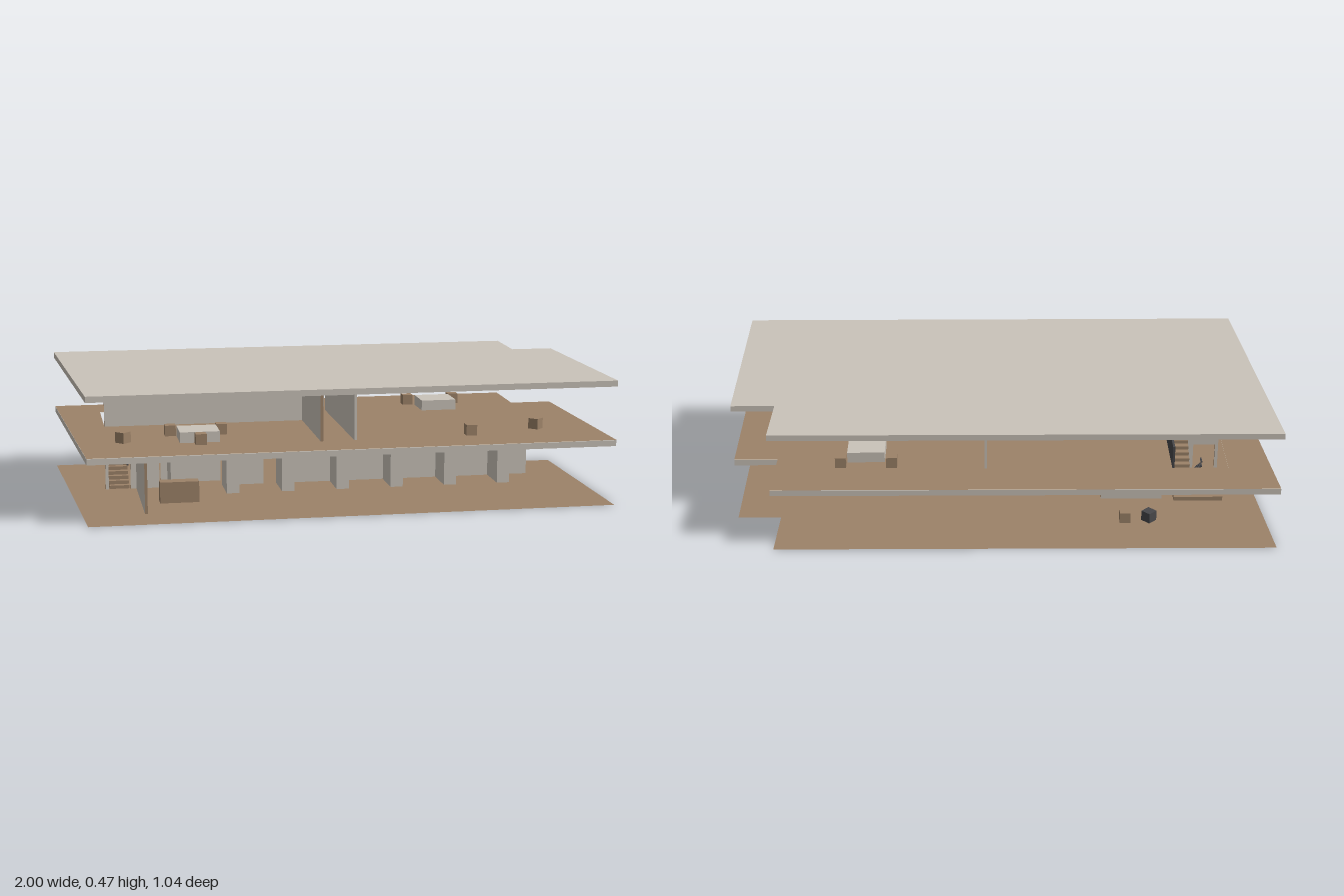
import * as THREE from 'three';

export function createModel() {
  const model = new THREE.Group();
  model.name = 'building';
  const mat = (name, color, side = THREE.FrontSide) => {
    const m = new THREE.MeshStandardMaterial({ color, side });
    m.name = name;
    return m;
  };
  const concrete = mat('concrete', 0xcac3b9);
  const wood = mat('wood', 0x9c8268, THREE.DoubleSide);
  const dark = mat('charcoal', 0x47474a);

  const add = (name, geometry, material) => {
    const mesh = new THREE.Mesh(geometry, material);
    mesh.name = name;
    model.add(mesh);
    return mesh;
  };
  // Box given by its lower and upper limits on each axis
  const box = (name, material, x0, x1, y0, y1, z0, z1) => {
    const m = add(name, new THREE.BoxGeometry(x1 - x0, y1 - y0, z1 - z0), material);
    m.position.set((x0 + x1) / 2, (y0 + y1) / 2, (z0 + z1) / 2);
    return m;
  };

  // Floor outline, optionally with the stairwell cut out
  const outline = (stairwell) => {
    const pts = [[-1, -0.525], [0.835, -0.52], [0.83, -0.28], [0.99, -0.28], [1, 0.52], [-0.925, 0.52]];
    const shape = new THREE.Shape(pts.map(([x, z]) => new THREE.Vector2(x, -z)));
    if (stairwell) {
      const hole = [[-0.83, -0.36], [-0.63, -0.36], [-0.63, -0.065], [-0.83, -0.065]];
      shape.holes.push(new THREE.Path(hole.map(([x, z]) => new THREE.Vector2(x, -z))));
    }
    return shape;
  };
  const slab = (name, y, h, stairwell) => {
    const g = new THREE.ExtrudeGeometry(outline(stairwell), { depth: h, bevelEnabled: false });
    add(name, g.rotateX(-Math.PI / 2).translate(0, y, 0), concrete);
  };
  const floor = (name, y, stairwell) => {
    const g = new THREE.ShapeGeometry(outline(stairwell));
    add(name, g.rotateX(-Math.PI / 2).translate(0, y, 0), wood);
  };

  // Slabs and timber floors
  floor('groundFloor', 0.001, false);
  slab('middleSlab', 0.222, 0.022, true);
  floor('upperFloor', 0.2455, true);
  slab('roofSlab', 0.443, 0.022, false);

  // Walls with timber end faces
  const T = 0.005;
  const endsX = [wood, wood, concrete, concrete, concrete, concrete];
  const endsZ = [concrete, concrete, concrete, concrete, wood, wood];
  const wallX = (name, x0, x1, z, y0, y1) => box(name, endsX, x0, x1, y0, y1, z - T, z + T);
  const wallZ = (name, x, z0, z1, y0, y1, m = endsZ) => box(name, m, x - T, x + T, y0, y1, z0, z1);

  // Ground storey: long wall with two doorways, recessed wall, side wall
  const H = 0.222, door = 0.19;
  wallX('longWall', -0.145, 0.83, -0.06, 0, H);
  wallX('longWall', -0.38, -0.222, -0.06, 0, H);
  wallX('doorLintel', -0.222, -0.145, -0.06, door, H);
  wallX('longWall', -0.735, -0.625, -0.06, 0, H);
  wallX('doorLintel', -0.818, -0.735, -0.06, door, H);
  wallX('longWall', -0.83, -0.818, -0.06, 0, H);
  wallX('recessedWall', -0.613, -0.38, -0.142, 0, H);
  wallZ('entranceWall', -0.708, -0.055, 0.36, 0, H);

  // Upper storey: back wall and two corridor walls, one with a doorway
  const F = 0.245, C = 0.443;
  wallX('upperWall', -0.83, -0.065, -0.06, F, C);
  wallZ('corridorWallRight', -0.065, -0.065, 0.36, F, C);
  wallZ('corridorWallLeft', 0.06, -0.247, 0.36, F, C, concrete);
  wallZ('corridorWallLeft', 0.06, -0.36, -0.326, F, C, concrete);
  wallZ('doorLintel', 0.06, -0.326, -0.247, 0.43, C, concrete);

  // Row of low partitions and the reception desk
  for (let i = 0; i < 7; i++) {
    const x = -0.57 + i * 0.211;
    box('partition', concrete, x - 0.024, x + 0.024, 0, 0.13, -0.06, 0.09);
  }
  box('receptionDesk', wood, -0.645, -0.5, 0, 0.08, 0.16, 0.21);

  // Two-flight staircase with a landing
  const steps = 8, run = 0.0235, rise = 0.0135;
  for (let i = 0; i < steps; i++) {
    const z = -0.062 - i * run;
    const y = rise * (i + 1);
    box('lowerStep', wood, -0.815, -0.74, Math.max(0, y - 0.02), y, z - run - 0.006, z);
    const top = 0.222 - i * rise;
    box('upperStep', wood, -0.71, -0.635, top - 0.02, top, z - run - 0.006, z);
  }
  box('landing', wood, -0.815, -0.635, 0.105, 0.121, -0.355, -0.25);

  // Stepped handrail plates and stairwell guard
  for (let i = 0; i < 7; i++) {
    const z = -0.065 - Math.min(i, 5) * 0.031;
    box('handrailPlate', dark, -0.748, -0.742, 0.09 + i * 0.02, 0.094 + i * 0.02, z - 0.03, z);
  }
  box('stairGuard', dark, -0.632, -0.624, F, 0.33, -0.36, -0.065);

  // Stools: square blocks, some turned by 45 degrees
  const stool = (x, z, y = F, turned = false, material = wood) => {
    const s = 0.02;
    const m = box('stool', material, x - s, x + s, y, y + 0.04, z - s, z + s);
    if (turned) m.rotation.y = Math.PI / 4;
  };
  stool(0.5, 0.33);
  stool(-0.505, 0.33);
  stool(0.772, 0.255, F, true);
  stool(-0.78, 0.255, F, true);
  stool(0.405, -0.33);
  stool(0.592, -0.33);
  stool(-0.6, 0.15);
  stool(-0.41, 0.15);
  stool(-0.46, -0.315, 0);
  stool(-0.55, -0.313, 0, true, dark);

  // Tables
  box('table', concrete, 0.432, 0.57, F, 0.285, -0.305, -0.175);
  box('table', concrete, -0.578, -0.432, F, 0.285, 0.175, 0.305);

  return model;
}
